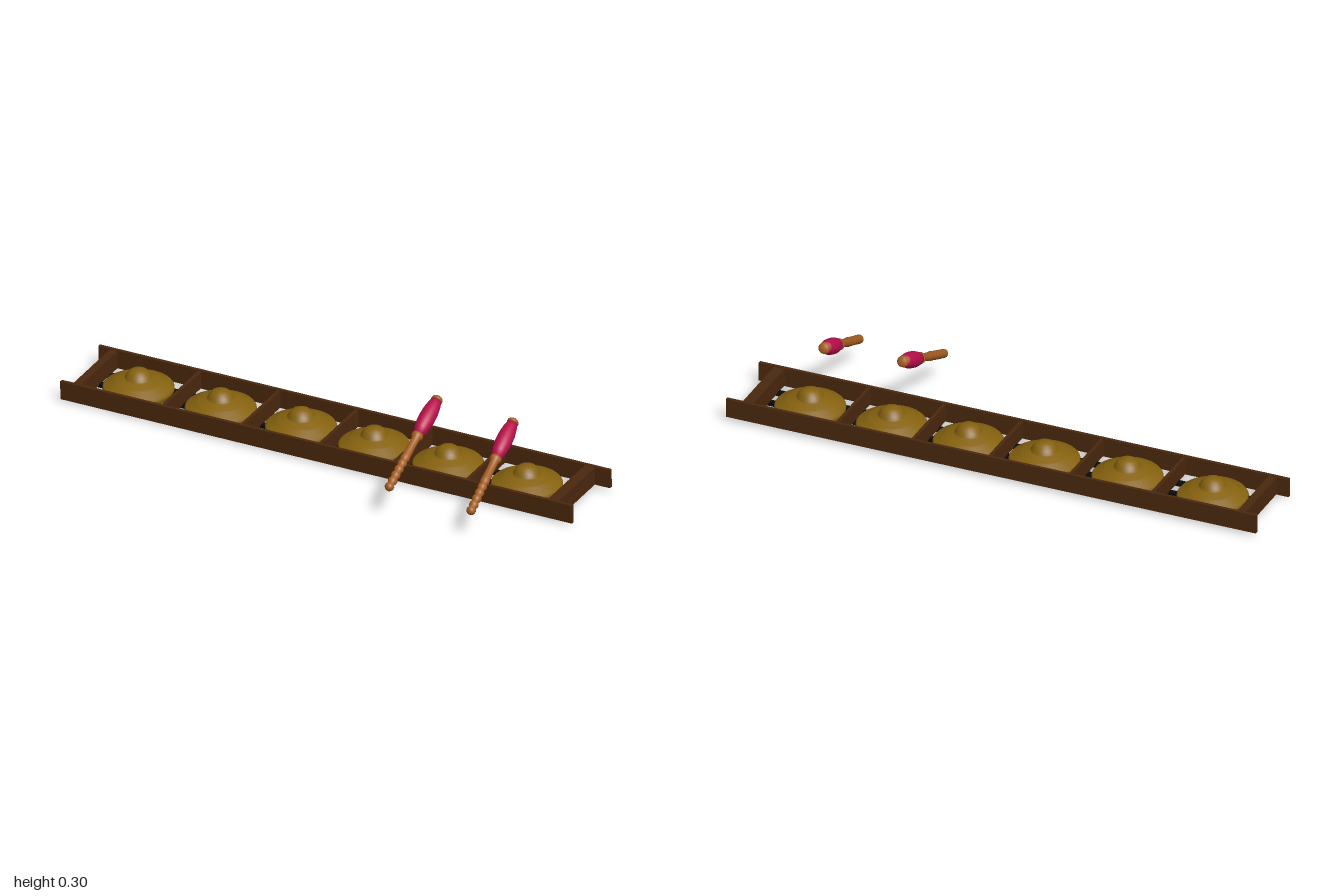
import * as THREE from 'three';

const material = (name, color, side = THREE.FrontSide) => {
  const m = new THREE.MeshStandardMaterial({ color, side });
  m.name = name;
  return m;
};

export function createModel() {
  const darkWood = material('dark wood', 0x4a280e);
  const black = material('black cord', 0x0c0c0c);
  const bronze = material('bronze', 0x86620f, THREE.DoubleSide);
  const lightWood = material('light wood', 0xa35c20);
  const red = material('red wrap', 0xb80f4a);

  const model = new THREE.Group();
  model.name = 'gongRow';

  const add = (parent, name, geometry, mat, x = 0, y = 0, z = 0) => {
    const mesh = new THREE.Mesh(geometry, mat);
    mesh.name = name;
    mesh.position.set(x, y, z);
    parent.add(mesh);
    return mesh;
  };
  const box = (parent, name, mat, w, h, d, x, y, z) =>
    add(parent, name, new THREE.BoxGeometry(w, h, d), mat, x, y, z);

  // Wooden frame, sitting very slightly askew
  const frame = new THREE.Group();
  frame.name = 'frame';
  frame.position.set(0, 0.046, -0.122);
  frame.rotation.set(0.022, 0.01, 0.001);
  model.add(frame);
  box(frame, 'frontRail', darkWood, 2, 0.07, 0.013, 0, 0, 0.142);
  box(frame, 'backRail', darkWood, 2, 0.07, 0.013, 0, 0, -0.142);
  box(frame, 'endBoardRight', darkWood, 0.03, 0.066, 0.275, -0.94, 0, 0);
  box(frame, 'endBoardLeft', darkWood, 0.04, 0.066, 0.275, 0.922, 0, 0);
  for (const x of [-0.605, -0.295, 0.01, 0.3, 0.585])
    box(frame, 'divider', darkWood, 0.013, 0.064, 0.275, x, 0, 0);

  // Three supports under the gongs
  for (const z of [-0.196, -0.121, -0.048])
    box(model, 'supportBar', black, 1.87, 0.014, 0.02, -0.01, 0.009, z);

  // Bossed gongs, open below
  const gongProfile = [
    [0.119, 0.018], [0.125, 0.032], [0.125, 0.04], [0.12, 0.046], [0.085, 0.062],
    [0.081, 0.067], [0.05, 0.074], [0.046, 0.079], [0.041, 0.09], [0.031, 0.101],
    [0.016, 0.107], [0, 0.109],
  ].map(([r, y]) => new THREE.Vector2(r, y));
  const gongGeometry = new THREE.LatheGeometry(gongProfile, 40);
  const gongs = [[-0.775, -0.12], [-0.452, -0.12], [-0.142, -0.13],
    [0.147, -0.128], [0.438, -0.128], [0.746, -0.13]];
  for (const [x, z] of gongs) add(model, 'gong', gongGeometry, bronze, x, 0, z);

  // Turned mallet: beaded grip, plain neck, collar, wrapped head and end cap
  const lathe = (points) =>
    new THREE.LatheGeometry(points.map(([r, y]) => new THREE.Vector2(r, y)), 24);
  const grip = [[0, -0.004], [0.011, 0]];
  for (let i = 0; i < 5; i++) {
    const y = i * 0.027;
    grip.push([0.016, y + 0.007], [0.0165, y + 0.016], [0.0115, y + 0.026]);
  }
  grip.push([0.017, 0.14], [0.0155, 0.155], [0.014, 0.2], [0.015, 0.236], [0.021, 0.243],
    [0.021, 0.252], [0.017, 0.26], [0, 0.26]);
  const gripGeometry = lathe(grip);
  const headGeometry = lathe([[0, 0.255], [0.019, 0.255], [0.025, 0.28], [0.029, 0.31],
    [0.0295, 0.335], [0.028, 0.365], [0.023, 0.395], [0.018, 0.411], [0, 0.411]]);
  const capGeometry = lathe([[0, 0.408], [0.019, 0.408], [0.021, 0.413], [0.02, 0.42],
    [0.014, 0.426], [0, 0.427]]);

  const addMallet = (name, from, to) => {
    const start = new THREE.Vector3(...from);
    const direction = new THREE.Vector3(...to).sub(start).normalize();
    const mallet = new THREE.Group();
    mallet.name = name;
    mallet.position.copy(start);
    mallet.quaternion.setFromUnitVectors(new THREE.Vector3(0, 1, 0), direction);
    add(mallet, 'malletHandle', gripGeometry, lightWood);
    add(mallet, 'malletHead', headGeometry, red);
    add(mallet, 'malletCap', capGeometry, lightWood);
    model.add(mallet);
  };
  addMallet('innerMallet', [0.416, 0.115, 0.27], [0.404, 0.291, -0.118]);
  addMallet('outerMallet', [0.735, 0.099, 0.265], [0.7, 0.275, -0.12]);

  return model;
}
